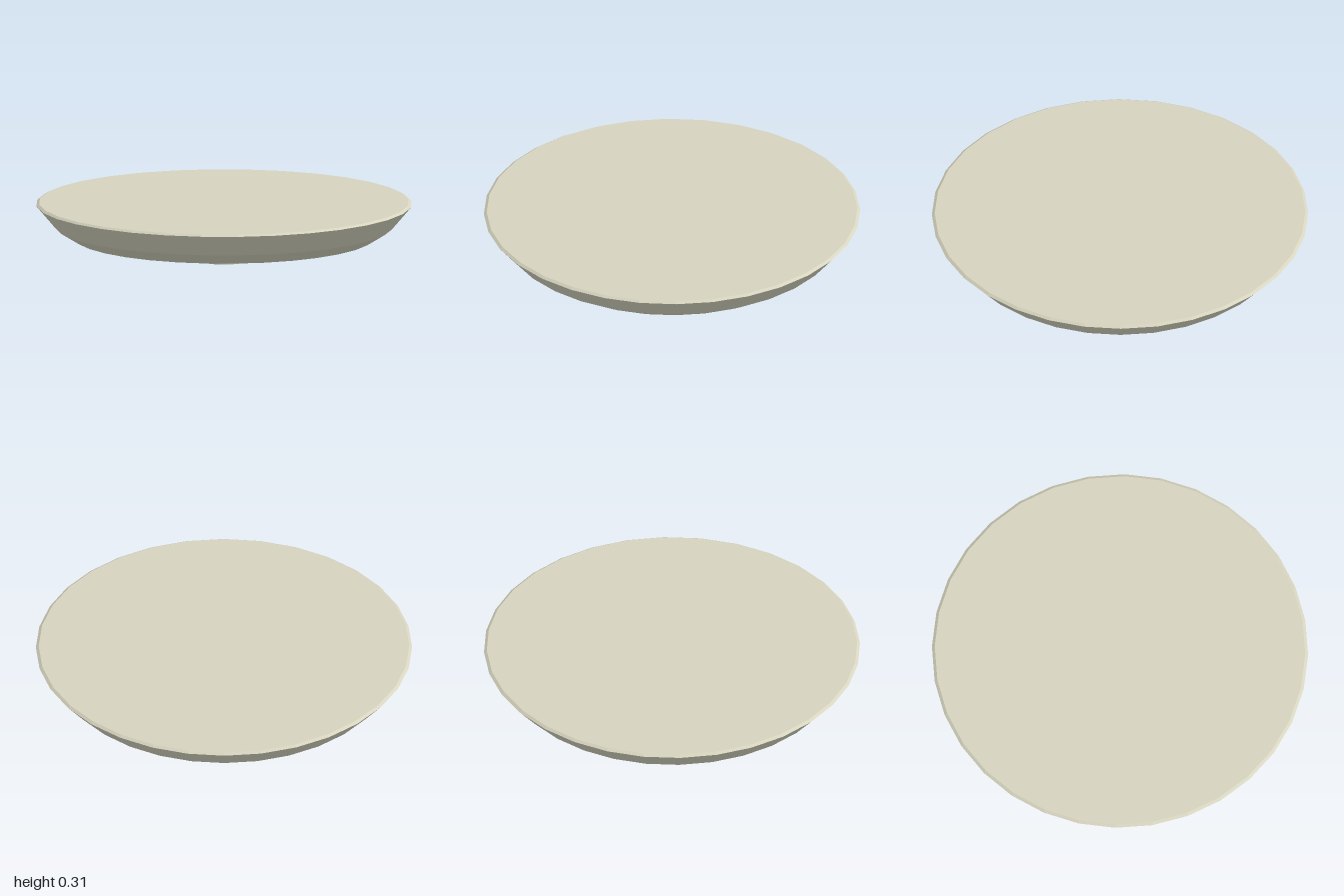
import * as THREE from 'three';

const material = new THREE.MeshStandardMaterial({ color: 0xd6d4be, flatShading: true });

// Faceted solid of revolution; the profile runs from the underside outward and up
function turned(name, profile) {
  const points = profile.map(([r, y]) => new THREE.Vector2(r, y));
  const mesh = new THREE.Mesh(new THREE.LatheGeometry(points, 32), material);
  mesh.name = name;
  return mesh;
}

export function createModel() {
  const model = new THREE.Group();
  model.name = 'dish';

  // Shallow bowl-shaped body with a bevelled rim and a flat top
  model.add(turned('body', [
    [0.14, 0.064], [0.8, 0.125], [0.9, 0.187], [1, 0.305], [0.985, 0.315], [0, 0.315],
  ]));

  // Hollow foot with a recessed underside
  model.add(turned('foot', [
    [0, 0.03], [0.117, 0.03], [0.117, 0], [0.131, 0], [0.14, 0.064],
  ]));

  return model;
}
